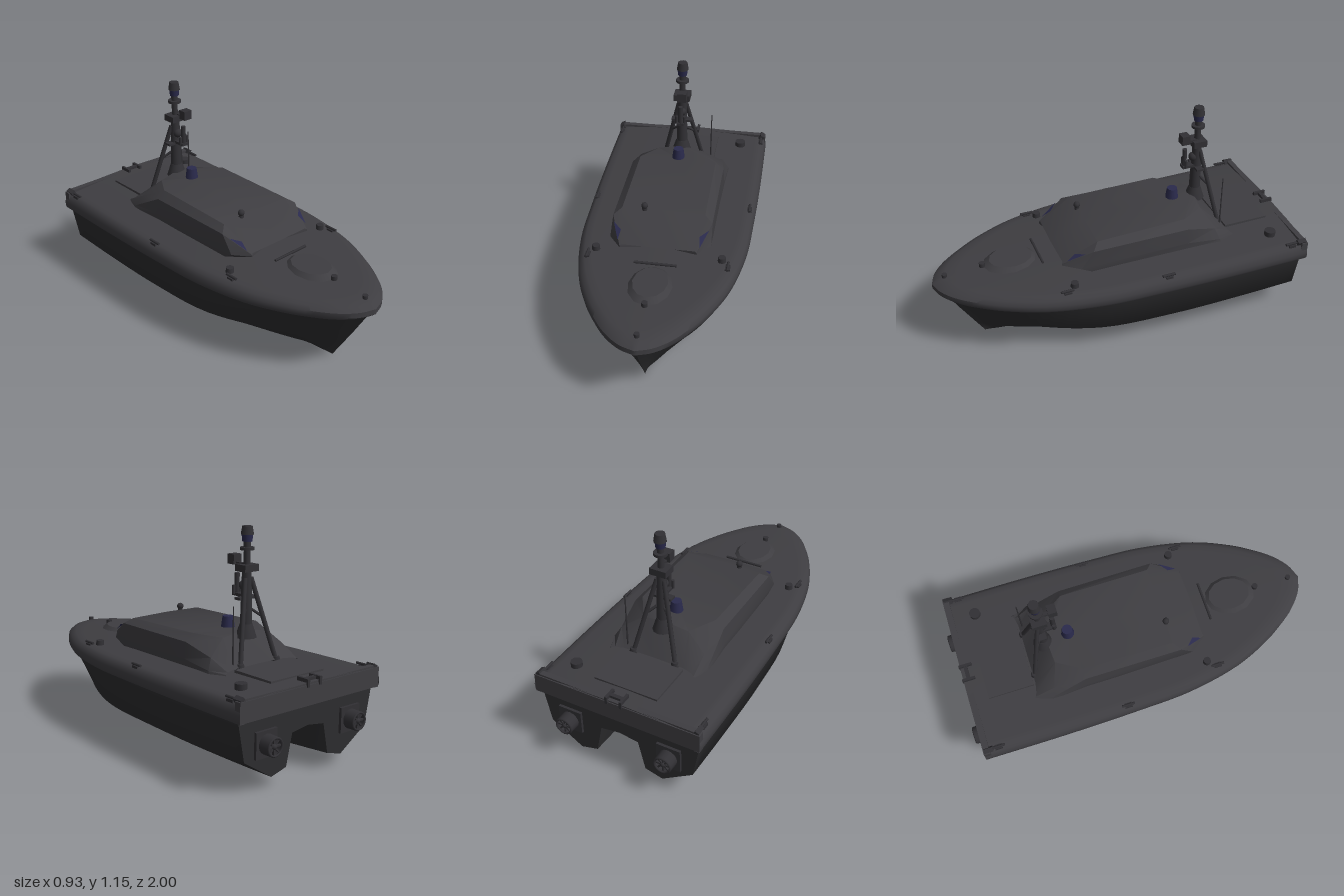
import * as THREE from 'three';
import { toCreasedNormals } from 'three/addons/utils/BufferGeometryUtils.js';

const mat = (name, color) => new THREE.MeshStandardMaterial({ name, color, side: THREE.DoubleSide });
const V = (x, y, z) => new THREE.Vector3(x, y, z);
const path = pts => pts.map(p => V(...p));
const smooth = (pts, n) => new THREE.CatmullRomCurve3(path(pts)).getPoints(n);

// Half rows (outer edge to centreline, each running bow to stern) mirrored to full width
function fullWidth(half) {
  const other = half.slice(0, -1).reverse().map(row => row.map(p => V(-p.x, p.y, p.z)));
  return [...half, ...other];
}

// Skin a grid of rows
function loft(rows, crease) {
  const n = rows[0].length, index = [];
  for (let i = 0; i < rows.length - 1; i++) for (let j = 0; j < n - 1; j++) {
    const a = i * n + j, b = a + n;
    index.push(a, b, a + 1, b, b + 1, a + 1);
  }
  const g = new THREE.BufferGeometry().setFromPoints(rows.flat());
  g.setIndex(index);
  return toCreasedNormals(g, crease);
}

export function createModel() {
  const boat = new THREE.Group();
  boat.name = 'patrolBoat';
  const hullGrey = mat('hull charcoal', 0x2d2d2f);
  const deckGrey = mat('deck grey', 0x3e3d41);
  const fitting = mat('fitting dark grey', 0x313034);
  const blue = mat('navy blue', 0x2a2a4c);

  const add = (name, geo, m, x = 0, y = 0, z = 0, parent = boat) => {
    const mesh = new THREE.Mesh(geo, m);
    mesh.name = name;
    mesh.position.set(x, y, z);
    parent.add(mesh);
    return mesh;
  };
  const box = (name, w, h, d, m, x, y, z, parent) => add(name, new THREE.BoxGeometry(w, h, d), m, x, y, z, parent);
  const post = (name, r0, r1, h, m, x, y, z, sides = 12, parent) =>
    add(name, new THREE.CylinderGeometry(r1, r0, h, sides), m, x, y + h / 2, z, parent);
  const beam = (name, a, b, r, m, parent) => {
    const p = V(...a), q = V(...b), d = q.clone().sub(p);
    const mesh = add(name, new THREE.CylinderGeometry(r, r, d.length(), 8), m, 0, 0, 0, parent);
    mesh.position.copy(p).lerp(q, 0.5);
    mesh.quaternion.setFromUnitVectors(V(0, 1, 0), d.normalize());
  };

  // Hull: sheer, chine, outer bottom, inner bottom, tunnel shoulder, keel
  const hullLines = [
    [[0, .375, .97], [.22, .375, .8], [.34, .375, .55], [.425, .375, .2], [.44, .375, -.2], [.445, .375, -.6], [.445, .375, -.925]],
    [[0, .21, .873], [.13, .21, .74], [.26, .18, .52], [.37, .16, .2], [.4, .155, -.2], [.405, .16, -.6], [.405, .17, -.925]],
    [[0, .08, .793], [.06, .075, .7], [.14, .07, .5], [.215, .06, .2], [.24, .055, -.2], [.245, .058, -.6], [.235, .06, -.925]],
    [[0, .03, .762], [.02, .028, .68], [.06, .022, .5], [.09, .018, .2], [.13, .03, -.2], [.145, .055, -.6], [.14, .085, -.925]],
    [[0, .015, .753], [.01, .01, .68], [.02, .008, .5], [.04, .012, .2], [.075, .04, -.2], [.1, .15, -.6], [.105, .245, -.925]],
    [[0, .01, .75], [0, .004, .68], [0, .002, .5], [0, .008, .2], [0, .035, -.2], [0, .15, -.6], [0, .26, -.925]],
  ].map(line => smooth(line, 30));
  add('hull', loft(fullWidth(hullLines), 0.95), hullGrey);

  // Transom follows the last hull station
  const sternEdge = fullWidth(hullLines).map(row => row[row.length - 1]);
  const transom = new THREE.Shape(sternEdge.map(p => new THREE.Vector2(p.x, p.y)));
  add('transom', new THREE.ShapeGeometry(transom), hullGrey, 0, 0, -.925);

  // Rubbing strake and crowned deck from one scaled outline
  const outline = smooth([[0, 0, 1], [.08, 0, .97], [.165, 0, .9], [.24, 0, .8], [.3, 0, .7], [.385, 0, .5],
    [.445, 0, .2], [.46, 0, -.1], [.467, 0, -.5], [.465, 0, -.955]], 45);
  const rim = (s, y, slope) => outline.map(p => {
    const z = p.z > 0 ? p.z * s : p.z;
    return V(p.x * s, y - slope * z, z);
  });
  const deckRows = [rim(.93, .366, 0), rim(.985, .366, 0), rim(1, .38, 0), rim(1, .408, 0), rim(.975, .435, .01),
    rim(.93, .45, .012), rim(.86, .452, .012), rim(.5, .462, .014), rim(0, .468, .014)];
  add('deckAndStrake', loft(fullWidth(deckRows).reverse(), 0.7), deckGrey);
  box('sternRail', .92, .1, .035, deckGrey, 0, .418, -.9375);
  box('sternCap', .86, .012, .03, deckGrey, 0, .472, -.935);

  // Cabin: overhanging windscreen foot, wide roof, shoulders falling away aft of the mast
  const cabin = [
    [[0, .45, .25], [.19, .45, .26], [.255, .45, .2], [.265, .45, -.33], [.28, .45, -.53], [.25, .46, -.62]],
    [[0, .46, .27], [.2, .495, .355], [.266, .495, .27], [.268, .5, -.33], [.272, .48, -.52], [.24, .475, -.61]],
    [[0, .46, .27], [.2, .505, .354], [.262, .585, .2], [.26, .585, -.33], [.24, .535, -.5], [.22, .48, -.6]],
    [[0, .46, .27], [.19, .51, .348], [.22, .613, .165], [.215, .624, -.33], [.13, .61, -.46], [.17, .485, -.59]],
    [[0, .46, .27], [0, .512, .352], [0, .617, .165], [0, .63, -.33], [0, .632, -.47], [0, .488, -.59]],
  ].map(path);
  add('cabin', loft(fullWidth(cabin).reverse(), 0.5), deckGrey);
  box('aftHatch', .35, .016, .25, deckGrey, 0, .478, -.725);

  // Foredeck hatch
  const hatch = add('foreHatch', new THREE.CylinderGeometry(.75, 1, 1, 12), deckGrey, 0, .457, .575);
  hatch.scale.set(.12, .028, .155);
  beam('foreRail', [-.11, .47, .43], [.11, .47, .43], .007, fitting);

  // Parts repeated on both sides
  for (const s of [-1, 1]) {
    // Blue quarter windows beside the windscreen
    const pane = new THREE.BufferGeometry().setFromPoints(path([
      [s * .211, .519, .327], [s * .248, .567, .235], [s * .202, .55, .278]]));
    pane.computeVertexNormals();
    add('quarterWindow', pane, blue, s * .003, .005, .005);

    // Water jet: mounting plate, nozzle, ring and impeller blades
    const jet = new THREE.Group();
    jet.name = 'waterJet';
    jet.position.set(s * .28, .235, -.925);
    boat.add(jet);
    box('jetPlate', .13, .13, .016, fitting, 0, 0, -.006, jet);
    const nozzle = add('jetNozzle', new THREE.CylinderGeometry(.048, .05, .07, 16, 1, true), fitting, 0, 0, -.035, jet);
    nozzle.rotation.x = -Math.PI / 2;
    add('jetRing', new THREE.TorusGeometry(.043, .006, 6, 16), fitting, 0, 0, -.069, jet);
    add('jetHub', new THREE.SphereGeometry(.015, 10, 8), fitting, 0, 0, -.058, jet);
    for (let i = 0; i < 4; i++) {
      box('jetBlade', .085, .008, .012, fitting, 0, 0, -.058, jet).rotation.z = i * Math.PI / 4;
    }

    // Mooring cleats along the deck edge
    for (const [x, y, z] of [[.365, .447, .38], [.43, .446, -.15], [.435, .455, -.87]]) {
      box('cleatBase', .026, .016, .04, fitting, s * x, y, z);
      beam('cleatHorn', [s * x, y + .013, z - .035], [s * x, y + .013, z + .035], .007, fitting);
    }
    const fairlead = box('sternFairlead', .025, .04, .05, fitting, s * .435, .463, -.925);
    fairlead.rotation.z = -s * .5;
    post('bollard', .022, .02, .026, fitting, s * .33, .45, .33);

    // Mast back legs
    beam('mastLeg', [s * .12, .48, -.58], [s * .02, .9, -.495], .012, fitting);
    beam('mastBrace', [s * .07, .7, -.535], [0, .76, -.485], .007, fitting);
    post('legFoot', .022, .018, .025, fitting, s * .12, .475, -.58);
  }

  // Single deck fittings
  post('bowBitt', .014, .014, .02, fitting, 0, .435, .93);
  post('foreBitt', .016, .016, .022, fitting, 0, .45, .73);
  post('aftVent', .03, .03, .035, fitting, .315, .46, -.8);
  for (const x of [-.04, .04]) box('sternHookSide', .014, .04, .07, fitting, x, .478, -.925);
  box('sternHookBar', .08, .014, .02, fitting, 0, .488, -.925);
  post('roofLampStem', .014, .012, .025, fitting, -.1, .61, .165);
  add('roofLamp', new THREE.SphereGeometry(.018, 10, 8), fitting, -.1, .637, .165);
  post('whipAntenna', .005, .003, .31, fitting, .16, .48, -.57, 6);
  post('roofDome', .036, .028, .058, blue, 0, .627, -.35, 10);

  // Mast column, platforms and lantern
  const mast = new THREE.Group();
  mast.name = 'mast';
  mast.position.z = -.485;
  boat.add(mast);
  post('mastFoot', .055, .032, .07, fitting, 0, .6, 0, 12, mast);
  post('mastColumn', .032, .024, .31, fitting, 0, .63, 0, 12, mast);
  box('crossPiece', .12, .012, .04, fitting, 0, .8, 0, mast);
  box('mastPlatform', .09, .035, .075, fitting, 0, .95, 0, mast);
  post('upperColumn', .018, .016, .15, fitting, 0, .93, 0, 10, mast);
  box('cameraArm', .018, .015, .08, fitting, .01, .965, .045, mast);
  box('cameraHousing', .05, .05, .045, fitting, .01, .985, .08, mast);
  box('sensorBracket', .04, .015, .08, fitting, 0, .81, .045, mast);
  post('sensorTall', .013, .013, .1, fitting, 0, .815, .07, 8, mast);
  for (const x of [-.022, .022]) post('sensorShort', .008, .008, .045, fitting, x, .81, .07, 8, mast);
  add('hornDrum', new THREE.SphereGeometry(.025, 12, 8), fitting, 0, .86, .02, mast);
  post('lanternDisc', .036, .036, .014, fitting, 0, 1.037, 0, 14, mast);
  post('lanternNeck', .018, .018, .03, fitting, 0, 1.05, 0, 10, mast);
  post('lanternGlass', .025, .029, .035, blue, 0, 1.078, 0, 10, mast);
  post('lanternCap', .033, .026, .042, fitting, 0, 1.112, 0, 10, mast);
  return boat;
}
